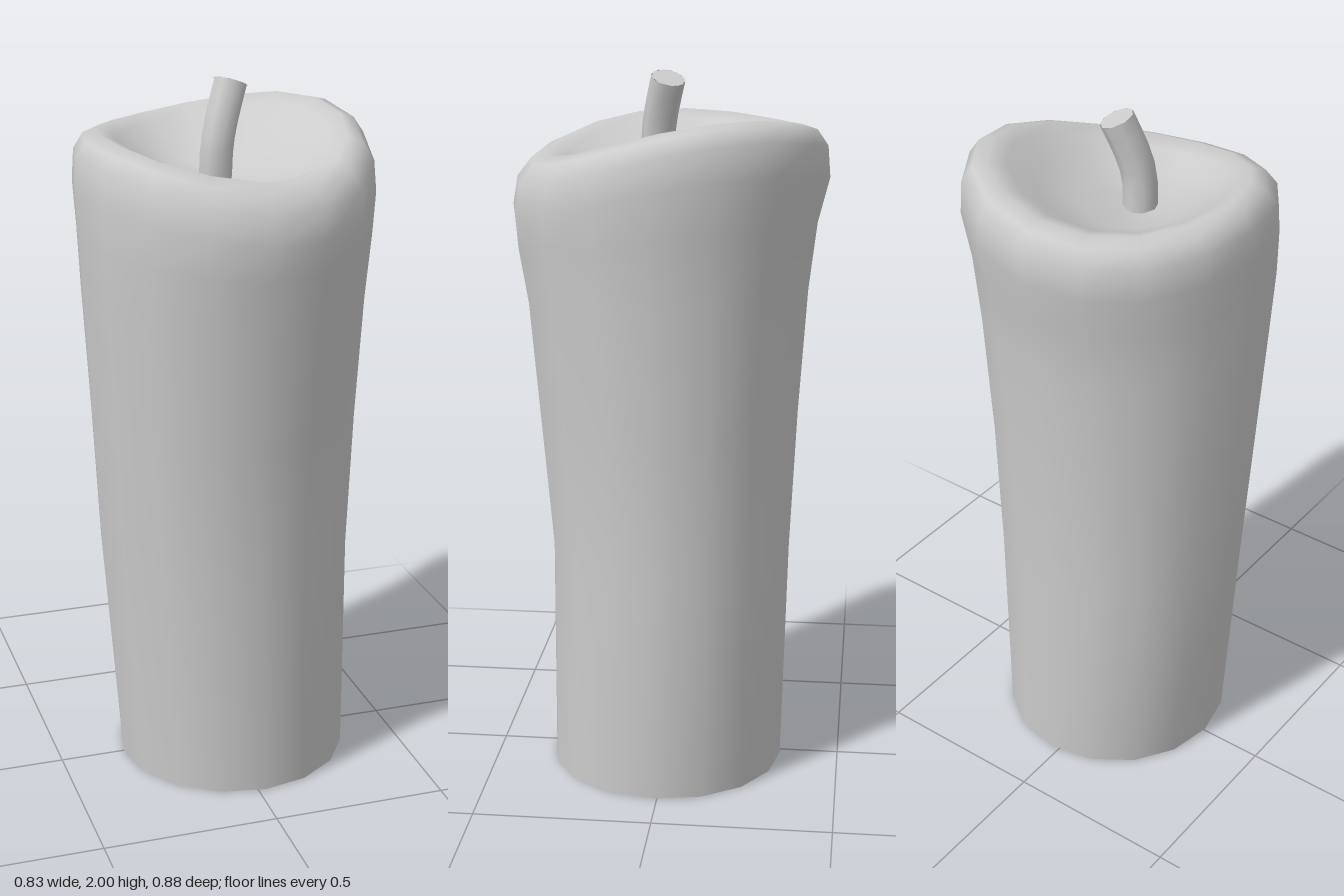
import * as THREE from 'three';

const SIDES = 16;

// Uneven melted rim: low at the front, highest at the back left
function rimOffset(a) {
  return 0.01 * Math.cos(a) - 0.04 * Math.sin(a) + 0.0225 * Math.cos(2 * a) - 0.02 * Math.sin(2 * a);
}

// Each ring: height, share of the rim offset, centre x, radius x, centre z, radius z
const RINGS = [
  [0, 0, 0.022, 0.333, 0.005, 0.335],
  [0.65, 0, 0, 0.36, -0.002, 0.343],
  [1.05, 0, -0.005, 0.376, 0.007, 0.37],
  [1.4, 0.3, -0.006, 0.396, 0.01, 0.396],
  [1.58, 0.7, -0.003, 0.407, 0.012, 0.42],
  [1.7, 1.1, 0, 0.415, 0, 0.44],
  [1.785, 1.2, 0, 0.409, -0.003, 0.43],
  [1.83, 1.1, 0, 0.382, -0.008, 0.395],
  [1.846, 1, 0, 0.343, -0.01, 0.35],
  [1.828, 1, 0, 0.295, -0.005, 0.3],
  [1.785, 0.7, -0.008, 0.235, 0, 0.24],
  [1.745, 0.3, -0.015, 0.14, 0.015, 0.14],
  [1.73, 0, -0.03, 0, 0.03, 0],
];

// Wax body: open at the bottom, rolled over the rim into the melted bowl
function waxGeometry() {
  const positions = [], index = [];
  RINGS.forEach(([y, k, cx, rx, cz, rz], i) => {
    for (let j = 0; j < SIDES; j++) {
      const a = (j / SIDES) * Math.PI * 2;
      positions.push(cx + rx * Math.cos(a), y + k * rimOffset(a), cz + rz * Math.sin(a));
      if (i === RINGS.length - 1) continue;
      const n = (j + 1) % SIDES;
      const p = i * SIDES + j, q = i * SIDES + n;
      index.push(p, p + SIDES, q);
      if (i < RINGS.length - 2) index.push(q, p + SIDES, q + SIDES);
    }
  });
  const g = new THREE.BufferGeometry();
  g.setAttribute('position', new THREE.Float32BufferAttribute(positions, 3));
  g.setIndex(index);
  g.computeVertexNormals();
  return g;
}

export function createModel() {
  const model = new THREE.Group();
  model.name = 'candle';
  const material = new THREE.MeshStandardMaterial({ color: 0xcccccc, side: THREE.DoubleSide });

  const wax = new THREE.Mesh(waxGeometry(), material);
  wax.name = 'waxBody';
  model.add(wax);

  // Bent wick with a flat cut end
  const wick = new THREE.Group();
  wick.name = 'wick';
  const path = new THREE.CatmullRomCurve3([
    new THREE.Vector3(-0.033, 1.7, 0.034),
    new THREE.Vector3(-0.028, 1.82, 0.036),
    new THREE.Vector3(-0.012, 1.89, 0.026),
    new THREE.Vector3(0.021, 1.985, 0.003),
  ]);
  const radius = 0.047;
  const stem = new THREE.Mesh(new THREE.TubeGeometry(path, 6, radius, 8), material);
  stem.name = 'wickStem';
  const tip = new THREE.Mesh(new THREE.CircleGeometry(radius, 8), material);
  tip.name = 'wickTip';
  tip.position.copy(path.getPoint(1));
  tip.quaternion.setFromUnitVectors(new THREE.Vector3(0, 0, 1), path.getTangent(1));
  wick.add(stem, tip);
  model.add(wick);

  return model;
}
